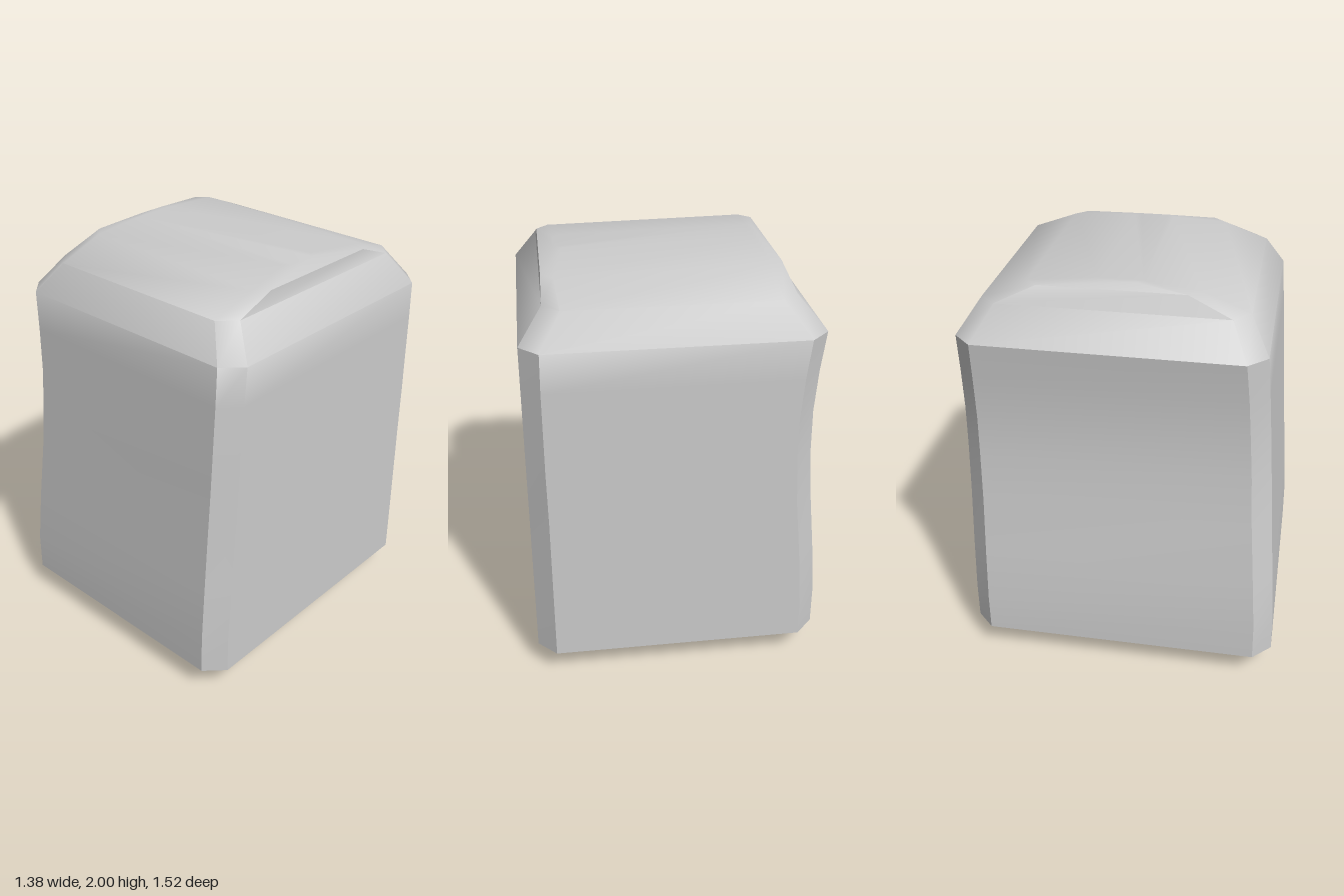
import * as THREE from 'three';
import { toCreasedNormals } from 'three/addons/utils/BufferGeometryUtils.js';

// Horizontal sections: [y, xRight, xLeft, zBack, zFront, cornerCut]
const SECTIONS = [
  [0.0, -0.46, 0.49, -0.15, 0.15, 0.03],
  [0.02, -0.53, 0.555, -0.4, 0.4, 0.06],
  [0.075, -0.55, 0.56, -0.65, 0.65, 0.075],
  [0.14, -0.69, 0.69, -0.76, 0.76, 0.088],
  [0.33, -0.69, 0.69, -0.76, 0.757, 0.088],
  [0.6, -0.67, 0.69, -0.758, 0.737, 0.088],
  [0.9, -0.64, 0.69, -0.756, 0.713, 0.088],
  [1.15, -0.622, 0.69, -0.754, 0.695, 0.085],
  [1.35, -0.62, 0.69, -0.752, 0.68, 0.085],
  [1.55, -0.635, 0.69, -0.751, 0.665, 0.085],
  [1.735, -0.66, 0.69, -0.75, 0.65, 0.088],
  [1.885, -0.535, 0.58, -0.65, 0.56, 0.075],
  [1.965, -0.505, 0.575, -0.44, 0.34, 0.055],
  [1.992, -0.465, 0.5, -0.12, 0.08, 0.03],
];

// Eight-sided outline of one section, counter-clockwise seen from below
function outline([y, x0, x1, z0, z1, c]) {
  const tilt = y > 1.93 ? 0.016 : 0; // the crown dips towards +x
  return [
    [x0 + c, z1], [x1 - c, z1], [x1, z1 - c], [x1, z0 + c],
    [x1 - c, z0], [x0 + c, z0], [x0, z0 + c], [x0, z1 - c],
  ].map(([x, z]) => [x, y - tilt * x, z]);
}

function loft(sections) {
  const rings = sections.map(outline);
  const n = 8;
  const points = rings.flat(2);
  const index = [];
  for (let r = 0; r < rings.length - 1; r++) {
    for (let i = 0; i < n; i++) {
      const a = r * n + i, b = r * n + (i + 1) % n;
      index.push(a, b, b + n, a, b + n, a + n);
    }
  }
  // Close the underside and the crown
  const top = (rings.length - 1) * n;
  for (let i = 1; i < n - 1; i++) {
    index.push(0, i + 1, i);
    index.push(top, top + i, top + i + 1);
  }
  const geometry = new THREE.BufferGeometry();
  geometry.setAttribute('position', new THREE.Float32BufferAttribute(points, 3));
  geometry.setIndex(index);
  return toCreasedNormals(geometry, 0.7);
}

export function createModel() {
  const group = new THREE.Group();
  group.name = 'stone';
  // Chamfered block with a hollowed -x side, leaning front and domed ends
  const block = new THREE.Mesh(
    loft(SECTIONS),
    new THREE.MeshStandardMaterial({ color: 0xcccccc })
  );
  block.name = 'stoneBlock';
  group.add(block);
  return group;
}
